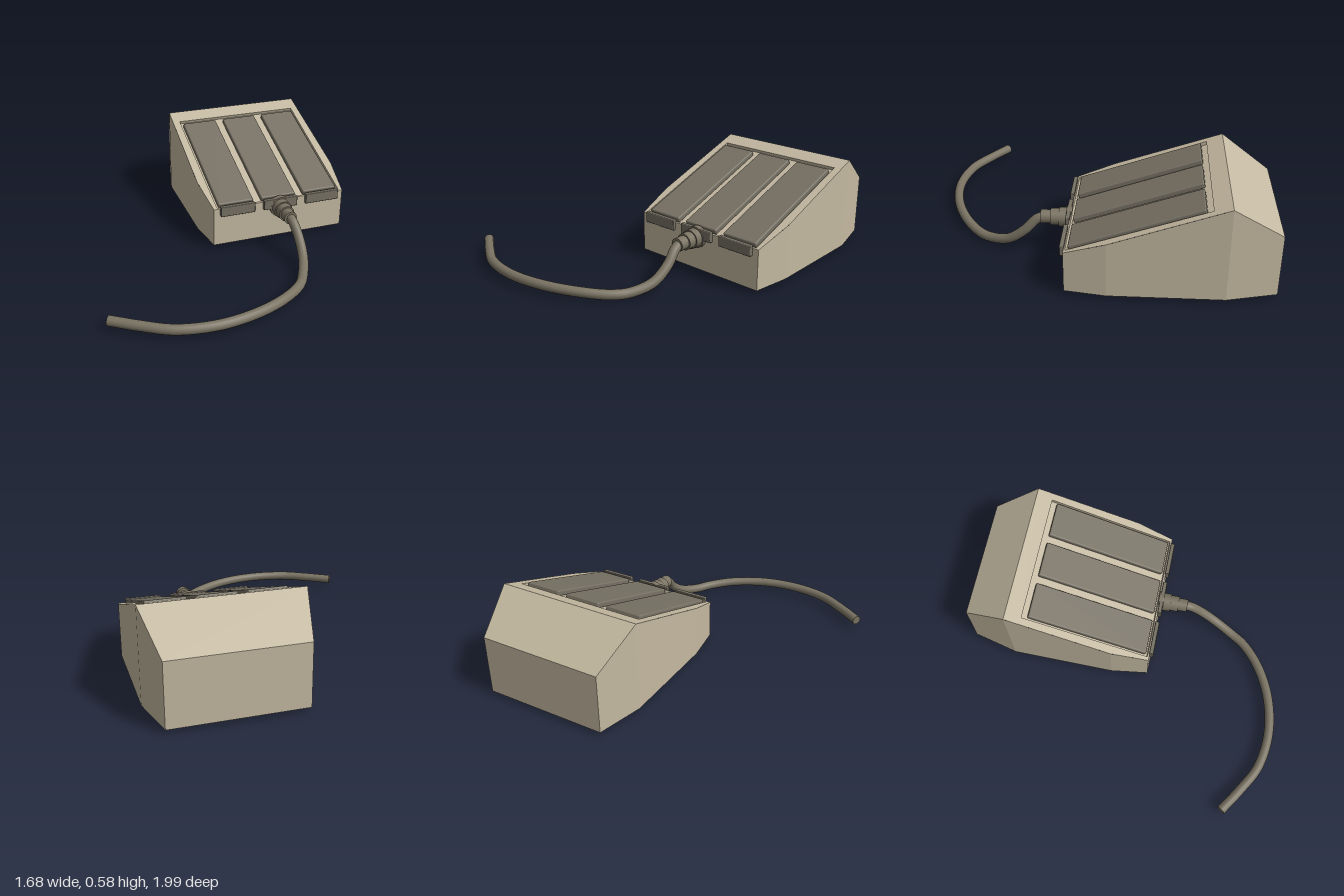
import * as THREE from 'three';
import { RoundedBoxGeometry } from 'three/addons/geometries/RoundedBoxGeometry.js';

const CX = 0.382, BASE = 0.022;
// Body stations from front to back: z, half width, height
const STATIONS = [[0.15, 0.427, 0.266], [-0.08, 0.458, 0.348], [-0.72, 0.45, 0.577], [-1, 0.38, 0.387]];
const SLOPE = Math.atan2(0.311, 0.87), COS = Math.cos(SLOPE);

// Flat-sided surface from four-cornered faces
function quads(faces) {
  const geometry = new THREE.BufferGeometry();
  const pos = faces.flatMap(([a, b, c, d]) => [a, b, c, a, c, d].flat());
  geometry.setAttribute('position', new THREE.Float32BufferAttribute(pos, 3));
  geometry.computeVertexNormals();
  return geometry;
}

export function createModel() {
  const model = new THREE.Group();
  const tan = new THREE.MeshStandardMaterial({ color: 0xc4b9a1 });
  tan.name = 'warm beige';
  const grey = new THREE.MeshStandardMaterial({ color: 0x777164 });
  grey.name = 'brown grey';
  const cableGrey = new THREE.MeshStandardMaterial({ color: 0x7a7363 });
  cableGrey.name = 'cable grey';

  const add = (parent, name, geometry, material, x = 0, y = 0, z = 0) => {
    const mesh = new THREE.Mesh(geometry, material);
    mesh.name = name;
    mesh.position.set(x, y, z);
    parent.add(mesh);
    return mesh;
  };

  // Wedge housing, open where the sloped pedal deck goes
  const rings = STATIONS.map(([z, w, h]) => ({
    bl: [-w, BASE, z], br: [w, BASE, z], tr: [w, h, z], tl: [-w, h, z],
  }));
  const [front, , peak, back] = rings;
  const faces = [
    [peak.tl, peak.tr, back.tr, back.tl],
    [front.bl, front.br, front.tr, front.tl],
    [back.br, back.bl, back.tl, back.tr],
  ];
  for (let i = 0; i < rings.length - 1; i++) {
    const f = rings[i], k = rings[i + 1];
    faces.push([f.br, k.br, k.tr, f.tr], [f.tl, k.tl, k.bl, f.bl], [f.bl, k.bl, k.br, f.br]);
  }
  add(model, 'housing', quads(faces), tan, CX);

  // Sloped deck: its local -z runs up the slope from the front edge
  const deck = new THREE.Group();
  deck.name = 'pedalDeck';
  deck.position.set(CX, 0.266, 0.15);
  deck.rotation.x = SLOPE;
  model.add(deck);

  const outline = STATIONS.slice(0, 3).map(([z, w]) => [w, (0.15 - z) / COS]);
  const rim = new THREE.Shape([
    ...outline.map(([w, l]) => new THREE.Vector2(w, l)),
    ...outline.slice().reverse().map(([w, l]) => new THREE.Vector2(-w, l)),
  ]);
  const near = 0.01 / COS, far = 0.775 / COS, half = 0.405;
  const hole = [[-half, near], [-half, far], [half, far], [half, near]];
  rim.holes.push(new THREE.Path(hole.map(([x, l]) => new THREE.Vector2(x, l))));
  add(deck, 'deckRim', new THREE.ShapeGeometry(rim).rotateX(-Math.PI / 2), tan);

  // Shallow open tray under the pedals: a floor and four inward walls
  const top = hole.map(([x, l]) => [x, 0, -l]);
  const floor = hole.map(([x, l]) => [x, -0.02, -l]);
  const tray = [[floor[0], floor[3], floor[2], floor[1]]];
  for (let i = 0; i < 4; i++) {
    const j = (i + 1) % 4;
    tray.push([floor[i], floor[j], top[j], top[i]]);
  }
  add(deck, 'deckRecess', quads(tray), tan);

  // Three pedals, each with a short lip on the front wall
  for (const x of [-0.278, 0, 0.278]) {
    add(deck, 'pedal', new RoundedBoxGeometry(0.225, 0.034, 0.718 / COS, 3, 0.009), grey,
      x, -0.005, -0.383 / COS);
    add(model, 'pedalLip', new RoundedBoxGeometry(0.22, 0.065, 0.026, 2, 0.005), grey,
      CX + x, 0.252, 0.16);
  }

  // Stepped strain relief: radius, start z, end z
  for (const [r, z0, z1] of [[0.065, 0.14, 0.174], [0.056, 0.174, 0.218], [0.049, 0.218, 0.268], [0.04, 0.268, 0.325]]) {
    add(model, 'strainRelief', new THREE.CylinderGeometry(r, r, z1 - z0, 24).rotateX(Math.PI / 2),
      cableGrey, 0.38, 0.226, (z0 + z1) / 2);
  }

  // Cable dropping to the floor and sweeping round
  const path = new THREE.CatmullRomCurve3([
    [0.38, 0.228, 0.3], [0.386, 0.21, 0.35], [0.395, 0.14, 0.42], [0.38, 0.066, 0.52],
    [0.325, 0.031, 0.64], [0.265, 0.031, 0.73], [0.13, 0.043, 0.84], [-0.07, 0.051, 0.93],
    [-0.3, 0.052, 0.965], [-0.52, 0.052, 0.93], [-0.68, 0.052, 0.842], [-0.825, 0.052, 0.745],
  ].map((p) => new THREE.Vector3(...p)));
  add(model, 'cable', new THREE.TubeGeometry(path, 90, 0.029, 16), cableGrey);
  const end = path.getPoint(1);
  const cap = add(model, 'cableEnd', new THREE.CircleGeometry(0.029, 16), cableGrey, end.x, end.y, end.z);
  cap.lookAt(end.clone().add(path.getTangent(1)));

  // Round foot pad, nearly flush, with a small centre button underneath
  add(model, 'footPad', new THREE.CylinderGeometry(0.19, 0.19, 0.004, 40), grey, CX, BASE + 0.0005, -0.48);
  add(model, 'footButton', new THREE.CylinderGeometry(0.032, 0.026, 0.01, 20), grey, CX, BASE - 0.003, -0.48);

  return model;
}
